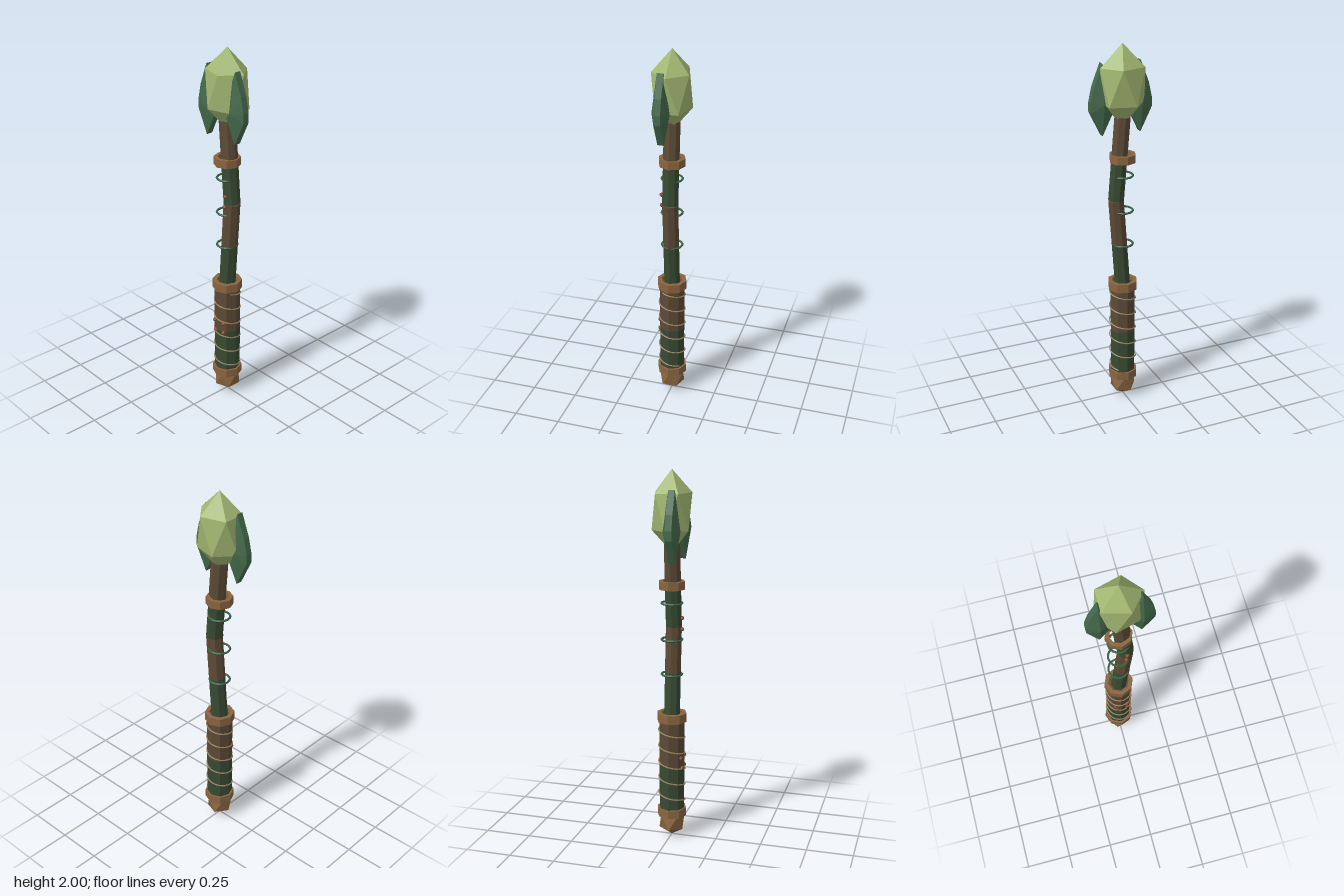
import * as THREE from 'three';
import { ConvexGeometry } from 'three/addons/geometries/ConvexGeometry.js';

const makeMaterial = (name, color) => {
  const m = new THREE.MeshStandardMaterial({ color, flatShading: true });
  m.name = name;
  return m;
};

export function createModel() {
  const group = new THREE.Group();
  const bark = makeMaterial('bark brown', 0x5c4a36);
  const moss = makeMaterial('moss green', 0x384a32);
  const bronze = makeMaterial('bronze', 0x8a6540);
  const bud = makeMaterial('bud green', 0xa2b872);
  const leafGreen = makeMaterial('leaf green', 0x456a4c);
  const vineGreen = makeMaterial('vine green', 0x3a6246);
  const cord = makeMaterial('cord tan', 0x96805e);
  const rust = makeMaterial('rust', 0x8a5030);

  const add = (name, geometry, material, x = 0, y = 0, z = 0) => {
    const mesh = new THREE.Mesh(geometry, material);
    mesh.name = name;
    mesh.position.set(x, y, z);
    group.add(mesh);
    return mesh;
  };

  // Eight-sided rod between two points in the xy plane, moss below and bark above
  const rod = (name, a, b, radius) => {
    const dir = b.clone().sub(a);
    const half = dir.length() / 2;
    [moss, bark].forEach((mat, i) => {
      const p = a.clone().addScaledVector(dir, 0.25 + 0.5 * i);
      const mesh = add(name + (i ? 'Upper' : 'Lower'),
        new THREE.CylinderGeometry(radius, radius, half, 8), mat, p.x, p.y);
      mesh.rotation.z = -Math.atan2(dir.x, dir.y);
    });
  };
  const at = (x, y) => new THREE.Vector3(x, y, 0);
  rod('grip', at(0, 0.14), at(0, 0.69), 0.07);
  rod('lowerStem', at(0, 0.68), at(0.037, 1.178), 0.044);
  rod('upperStem', at(0.037, 1.178), at(0, 1.625), 0.044);

  // Hollow collars
  const collar = (name, y, inner, outer, h) => {
    const points = [[outer, -h], [outer, h], [inner, h], [inner, -h], [outer, -h]]
      .map(([r, v]) => new THREE.Vector2(r, v / 2));
    add(name, new THREE.LatheGeometry(points, 8), bronze, 0, y);
  };
  collar('bottomCollar', 0.145, 0.06, 0.081, 0.045);
  collar('middleCollar', 0.688, 0.058, 0.081, 0.048);
  collar('topCollar', 1.406, 0.05, 0.071, 0.043);

  // Faceted gems standing on a vertex
  const gem = (sx, sy, sz) => new THREE.IcosahedronGeometry(1, 0)
    .rotateZ(-Math.atan(2 / (1 + Math.sqrt(5)))).scale(sx, sy, sz);
  add('pommel', gem(0.077, 0.08, 0.077), bronze, 0, 0.083);
  add('bud', gem(0.135, 0.212, 0.115), bud, 0, 1.788);

  // Side leaves: flat outline with a raised peak on each face
  const outline = [[0, 0.187], [0.045, 0.07], [0.063, -0.01], [0.063, -0.06], [0, -0.187]];
  const leafPoints = [new THREE.Vector3(0, -0.02, 0.047), new THREE.Vector3(0, -0.02, -0.047)];
  for (const [x, y] of outline)
    for (const s of [-1, 1])
      for (const z of [-0.0175, 0.0175])
        if (x || s > 0) leafPoints.push(new THREE.Vector3(s * x, y, z));
  const leaf = new ConvexGeometry(leafPoints);
  for (const s of [-1, 1])
    add(s > 0 ? 'leftLeaf' : 'rightLeaf', leaf, leafGreen, s * 0.105, 1.717, 0.028);

  // Vine hoops around the stem
  const hoop = new THREE.TorusGeometry(0.055, 0.006, 5, 16).rotateX(Math.PI / 2);
  [0.925, 1.115, 1.31].forEach((y) => add('vineHoop', hoop, vineGreen, 0, y));

  // Cord wound around the grip
  const winding = [];
  for (let i = 0; i <= 84; i++) {
    const y = 0.65 - (0.47 * i) / 84;
    const a = ((0.575 - y) / 0.09) * Math.PI * 2;
    winding.push(new THREE.Vector3(0.071 * Math.sin(a), y, 0.071 * Math.cos(a)));
  }
  add('cordWrap', new THREE.TubeGeometry(new THREE.CatmullRomCurve3(winding), 170, 0.004, 5),
    cord);

  // Small rust-coloured studs on the front
  const stud = new THREE.IcosahedronGeometry(0.012, 0);
  const studs = [[0.034, 1.225, 0.047], [0.03, 1.165, 0.047], [-0.034, 0.465, 0.06],
    [0.034, 0.465, 0.06], [-0.024, 0.408, 0.064], [0.034, 0.408, 0.06]];
  studs.forEach(([x, y, z]) => add('stud', stud, rust, x, y, z));

  return group;
}
